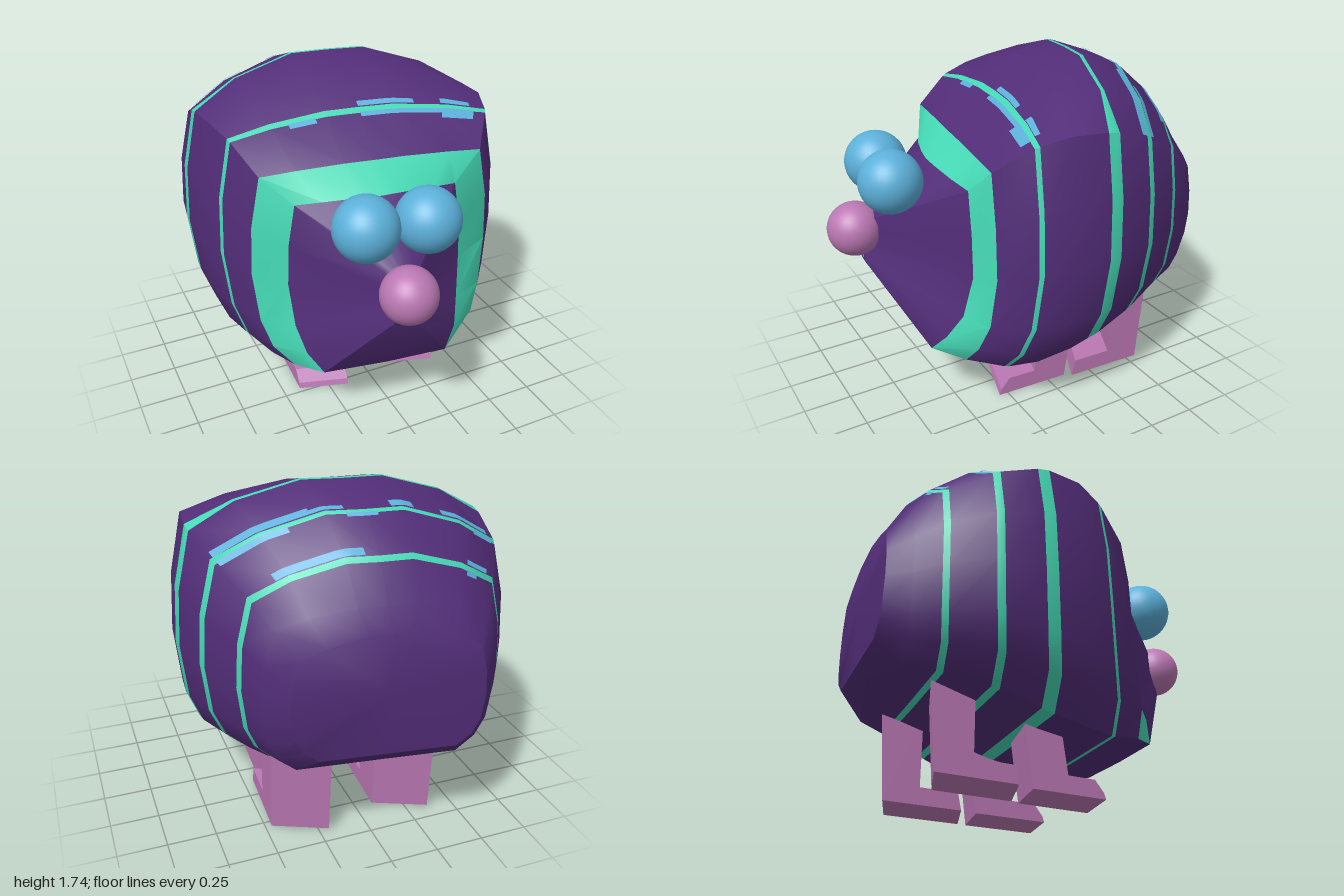
import * as THREE from 'three';
import { toCreasedNormals } from 'three/addons/utils/BufferGeometryUtils.js';

const mat = (name, color) => {
  const m = new THREE.MeshStandardMaterial({ color });
  m.name = name;
  return m;
};

// Body sections from back to front:
// z, top height, ridge height, bottom height, half width, centre x, z shift at the top, z shift at the bottom
const SECTIONS = [
  [-0.925, 1.19, 1.1, 0.58, 0.46, -0.125, 0, 0],
  [-0.82, 1.3, 1.21, 0.46, 0.555, -0.11, -0.05, 0.03],
  [-0.69, 1.49, 1.31, 0.43, 0.635, -0.1, -0.08, 0.05],
  [-0.47, 1.65, 1.42, 0.37, 0.765, -0.08, -0.11, 0.07],
  [-0.22, 1.745, 1.52, 0.3, 0.82, -0.03, -0.1, 0.08],
  [0, 1.69, 1.53, 0.27, 0.8, 0, -0.1, 0.09],
  [0.155, 1.55, 1.49, 0.27, 0.745, 0.02, -0.05, 0.1],
  [0.335, 1.385, 1.36, 0.31, 0.63, 0.02, 0.02, 0.11],
  [0.395, 1.25, 1.22, 0.34, 0.46, 0.02, 0.08, 0.2],
  [0.79, 1.02, 1.0, 0.76, 0.08, 0.02, 0, 0.05],
];

// Half outline from top centre to bottom centre: x factor, upper blend (top to ridge) or lower blend (ridge to bottom)
const OUTLINE = [
  [0, 0], [0.24, 0], [0.62, 0.42], [0.9, 1], [0.98, 1.25],
  [1, 1.5], [0.96, 1.75], [0.88, 1.89], [0.72, 2], [0, 2],
];
const TOP_SHIFT = [1, 0.9, 0.5, 0, 0, 0, 0, 0, 0, 0];
const LOW_SHIFT = [0, 0, 0, 0, 0, 0, 0.25, 0.65, 0.95, 1];
const { lerp } = THREE.MathUtils;

function sectionPoint(section, s) {
  const [z, top, ridge, low, w, cx, dTop, dLow] = section;
  const j = Math.abs(s);
  const [fx, t] = OUTLINE[j];
  const y = t <= 1 ? lerp(top, ridge, t) : lerp(ridge, low, t - 1);
  return new THREE.Vector3(cx + Math.sign(s) * fx * w, y, z + dTop * TOP_SHIFT[j] + dLow * LOW_SHIFT[j]);
}

// Point on the skin at depth z and signed outline position s (may be fractional)
function skin(z, s) {
  const lo = Math.floor(s);
  if (lo !== s) return skin(z, lo).lerp(skin(z, lo + 1), s - lo);
  let i = 0;
  while (i < SECTIONS.length - 2 && z > SECTIONS[i + 1][0]) i++;
  const t = (z - SECTIONS[i][0]) / (SECTIONS[i + 1][0] - SECTIONS[i][0]);
  return sectionPoint(SECTIONS[i], s).lerp(sectionPoint(SECTIONS[i + 1], s), t);
}

// Stripes: z, half width on the sides
const STRIPES = [[-0.69, 0.014], [-0.47, 0.018], [-0.22, 0.033], [0.155, 0.011]];

function bodyGeometry() {
  // Each ring: depth, half-width offset, and whether the gap in front of it is a stripe
  const rings = [];
  for (const [z] of SECTIONS) {
    const stripe = STRIPES.find((q) => q[0] === z);
    if (stripe) {
      rings.push({ z, side: -stripe[1], top: -0.011, teal: true });
      rings.push({ z, side: stripe[1], top: 0.011 });
    } else {
      rings.push({ z, side: 0, top: 0, teal: z === 0.335, band: z === 0.335 });
    }
  }
  const at = (r, s) => skin(r.z + (Math.abs(s) < 3 ? r.top : r.side), s);
  const pos = [];
  const geo = new THREE.BufferGeometry();
  const face = (material, ...pts) => {
    geo.addGroup(pos.length / 3, pts.length, material);
    for (const p of pts) pos.push(p.x, p.y, p.z);
  };
  for (let k = 0; k < rings.length - 1; k++) {
    const r = rings[k];
    for (let s = -9; s < 9; s++) {
      const a = at(r, s), b = at(r, s + 1), c = at(rings[k + 1], s + 1), d = at(rings[k + 1], s);
      const underside = s === -9 || s === 8;
      face(r.teal && !(r.band && underside) ? 1 : 0, a, d, c, a, c, b);
    }
  }
  // Rump and snout caps
  const back = rings[0], tip = rings[rings.length - 1];
  const backMid = new THREE.Vector3(-0.125, 0.9, -0.94);
  const tipMid = new THREE.Vector3(0.02, 0.9, 0.83);
  for (let s = -9; s < 9; s++) {
    face(0, backMid, at(back, s), at(back, s + 1));
    face(0, tipMid, at(tip, s + 1), at(tip, s));
  }
  geo.setAttribute('position', new THREE.Float32BufferAttribute(pos, 3));
  return toCreasedNormals(geo, 0.72);
}

// Thin patch lying on the upper skin between two outline positions and two depths
function patchGeometry(s0, s1, z0, z1) {
  const n = 8, pos = [], index = [];
  for (let i = 0; i <= n; i++) {
    const s = lerp(s0, s1, i / n);
    for (const z of [z0, z1]) {
      const p = skin(z, s);
      pos.push(p.x, p.y + 0.006, p.z);
    }
    if (i < n) index.push(2 * i, 2 * i + 1, 2 * i + 3, 2 * i, 2 * i + 3, 2 * i + 2);
  }
  const geo = new THREE.BufferGeometry();
  geo.setAttribute('position', new THREE.Float32BufferAttribute(pos, 3));
  geo.setIndex(index);
  geo.computeVertexNormals();
  return geo;
}

// Leg with a forward foot, from a side profile of [z, y] points; slant skews its front and back faces
function legGeometry(profile, width, slant) {
  const shape = new THREE.Shape(profile.map(([z, y]) => new THREE.Vector2(-z, y)));
  const geo = new THREE.ExtrudeGeometry(shape, { depth: width, bevelEnabled: false });
  geo.translate(0, 0, -width / 2);
  geo.rotateY(Math.PI / 2);
  const p = geo.attributes.position;
  for (let i = 0; i < p.count; i++) {
    const x = p.getX(i), z = p.getZ(i);
    p.setXYZ(i, x - 0.05 * z, p.getY(i), z + slant * x);
  }
  geo.computeVertexNormals();
  return geo;
}

export function createModel() {
  const purple = mat('purple skin', 0x522d78);
  const teal = mat('teal stripe', 0x45d9b5);
  const blue = mat('blue', 0x5cb0da);
  const pink = mat('pink', 0xbb78b4);

  const model = new THREE.Group();
  model.name = 'stripedCreature';
  const turned = new THREE.Group();
  turned.name = 'bodyAndFace';
  turned.rotation.y = -0.14;
  model.add(turned);
  const add = (parent, name, geo, material, x = 0, y = 0, z = 0) => {
    const mesh = new THREE.Mesh(geo, material);
    mesh.name = name;
    mesh.position.set(x, y, z);
    parent.add(mesh);
  };

  add(turned, 'body', bodyGeometry(), [purple, teal]);

  // Blue blotches beside the stripes on the back: outline start, end, z start, end
  const blotches = [
    [1.2, 2.95, -0.459, -0.42], [1.6, 2.95, -0.51, -0.481], [0.5, 1.2, -0.459, -0.435],
    [-0.3, 0.5, -0.5, -0.481], [-1.2, -0.7, -0.459, -0.42], [-2.8, -1.7, -0.459, -0.425],
    [-2.9, -2.4, -0.5, -0.481],
    [0.4, 2.3, -0.679, -0.645], [-2.8, -2.2, -0.679, -0.655], [-2.5, -2.2, -0.72, -0.701],
    [0, 1.9, 0.166, 0.183], [0, 1.4, 0.125, 0.144], [1.9, 2.7, 0.166, 0.205],
    [1.9, 2.6, 0.12, 0.144], [-1.7, -1.2, 0.166, 0.185],
  ];
  for (const b of blotches) add(turned, 'blotch', patchGeometry(...b), blue);

  // Eyes, nose and mouth
  const eye = new THREE.SphereGeometry(0.16, 32, 20);
  for (const side of [-1, 1]) {
    add(turned, side > 0 ? 'leftEye' : 'rightEye', eye, blue, 0.016 + side * 0.151, 1.215, 0.7);
  }
  add(turned, 'nose', new THREE.SphereGeometry(0.14, 32, 20), pink, 0.022, 0.93, 0.865);
  add(turned, 'mouth', new THREE.BoxGeometry(0.07, 0.04, 0.03), pink, 0.022, 0.795, 0.825);

  // Legs
  const front = legGeometry([[0.26, 0], [0.25, 0.03], [0.2, 0.09], [0.05, 0.09], [0.01, 0.36], [-0.19, 0.36], [-0.14, 0]], 0.26, 0.3);
  const rear = legGeometry([[-0.19, 0.01], [-0.21, 0.1], [-0.42, 0.1], [-0.42, 0.5], [-0.65, 0.5], [-0.61, 0.01]], 0.27, 0.45);
  for (const side of [-1, 1]) {
    const label = side > 0 ? 'left' : 'right';
    add(model, label + 'FrontLeg', front, pink, 0.005 + side * 0.27);
    add(model, label + 'RearLeg', rear, pink, 0.025 + side * 0.28);
  }
  return model;
}
